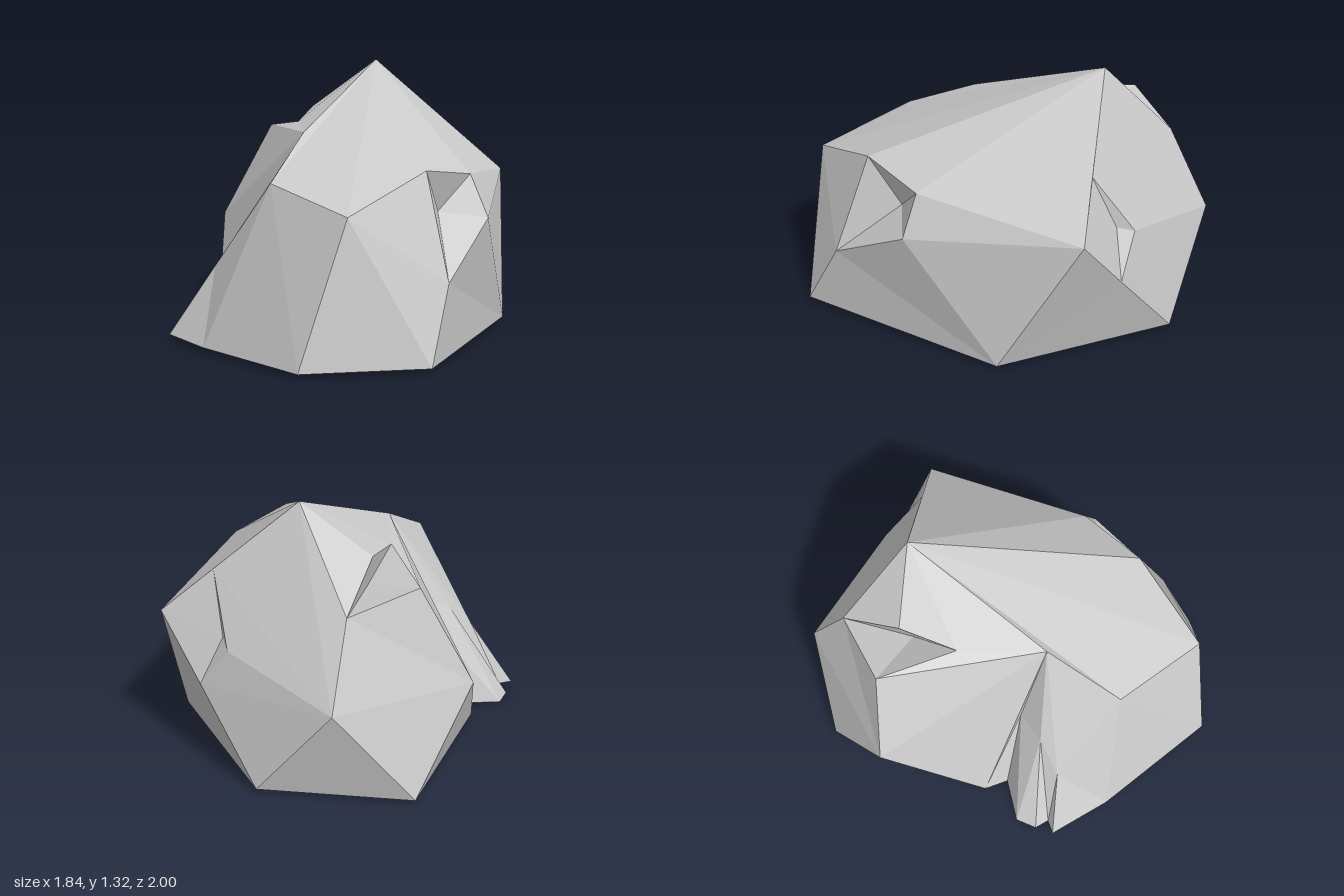
import * as THREE from 'three';

// Corners of the boulder, grouped by where they sit
const corners = {
  // crown
  peak: [0.28, 1.32, -0.45], brow: [0.18, 0.865, 0.67], nose: [-0.26, 0.7, 0.89],
  cheek: [-0.5, 0.8, 0.43], saddle: [-0.26, 1, 0.11], shoulder: [0.92, 0.74, -0.26],
  // back
  rump: [0.23, 0.5, -1], hip: [-0.48, 0.485, -0.77],
  // foot outline
  f0: [0.1, 0.02, 1], f1: [-0.5, 0.02, 0.93], f2: [-0.81, 0.02, 0.34], f3: [-0.92, 0.02, 0.03],
  f4: [-0.62, 0.02, -0.27], f5: [-0.16, 0.02, -1], f6: [0.55, 0.02, -0.77], f7: [0.79, 0.02, 0.12],
  under: [-0.1, 0.01, -0.1],
  // front notch
  n1: [0.23, 0.37, 0.85], n2: [0.54, 0.61, 0.535], n3: [0.475, 0.815, 0.46], nIn: [0.29, 0.65, 0.52],
  // side notch
  s1: [0.67, 0.965, -0.33], s2: [0.64, 0.64, -0.55], s3: [0.765, 0.44, -0.47], sIn: [0.65, 0.67, -0.46],
  // back crack
  c1: [0.13, 0.895, -0.82], c2: [-0.23, 0.963, -0.71], c3: [-0.18, 1.015, -0.31],
  c4: [-0.04, 1.07, -0.56], cIn: [-0.03, 0.9, -0.5],
  // groove running down to the foot
  g1: [-0.4, 0.51, -0.04], g2: [-0.6, 0.02, -0.15], g3: [-0.81, 0, -0.14], g4: [-0.87, 0, -0.05],
  g5: [-0.85, 0.02, 0.02], g6: [-0.7, 0.36, 0.09], gIn: [-0.55, 0.52, 0.03],
};

// Facets of each part, corners counter-clockwise seen from outside
const parts = {
  crown: ['peak saddle cheek nose brow', 'peak brow n3 shoulder s1', 'peak c4 c3 saddle',
    'peak c1 c4', 'peak rump c1', 's1 s2 rump peak'],
  frontFace: ['nose n1 brow', 'nose f1 f0 n1', 'n1 f0 f7 n2', 'n2 f7 shoulder n3'],
  leftFace: ['f7 f6 s3 shoulder', 's3 f6 rump s2'],
  backFace: ['f6 f5 rump', 'rump f5 hip', 'f5 f4 hip', 'c1 rump hip c2', 'c2 hip saddle c3'],
  rightFace: ['saddle hip f4 g1', 'f4 g2 g1', 'saddle g6 cheek', 'g6 f3 f2 cheek', 'cheek f2 f1 nose'],
  groove: ['g1 g2 g3 gIn', 'gIn g3 g4', 'gIn g4 g5 g6', 'saddle g1 gIn', 'saddle gIn g6', 'g6 g5 f3'],
  frontNotch: dent('brow n1 n2 n3', 'nIn'),
  sideNotch: dent('s1 shoulder s3 s2', 'sIn'),
  backCrack: dent('c1 c2 c3 c4', 'cIn'),
  underside: dent('f0 f1 f2 f3 g5 g4 g3 g2 f4 f5 f6 f7', 'under'),
};

// Triangles joining a closed rim to one inner point
function dent(rim, inner) {
  const r = rim.split(' ');
  return r.map((name, i) => `${name} ${r[(i + 1) % r.length]} ${inner}`);
}

// Splits every facet into a fan of triangles with hard edges
function facetGeometry(facets) {
  const positions = [];
  for (const facet of facets) {
    const p = facet.split(' ').map((name) => corners[name]);
    for (let i = 1; i < p.length - 1; i++) positions.push(...p[0], ...p[i], ...p[i + 1]);
  }
  const geometry = new THREE.BufferGeometry();
  geometry.setAttribute('position', new THREE.Float32BufferAttribute(positions, 3));
  geometry.computeVertexNormals();
  return geometry;
}

export function createModel() {
  const boulder = new THREE.Group();
  boulder.name = 'boulder';
  const stone = new THREE.MeshStandardMaterial({ color: 0xcccccc, flatShading: true });
  for (const [name, facets] of Object.entries(parts)) {
    const mesh = new THREE.Mesh(facetGeometry(facets), stone);
    mesh.name = name;
    boulder.add(mesh);
  }
  return boulder;
}
